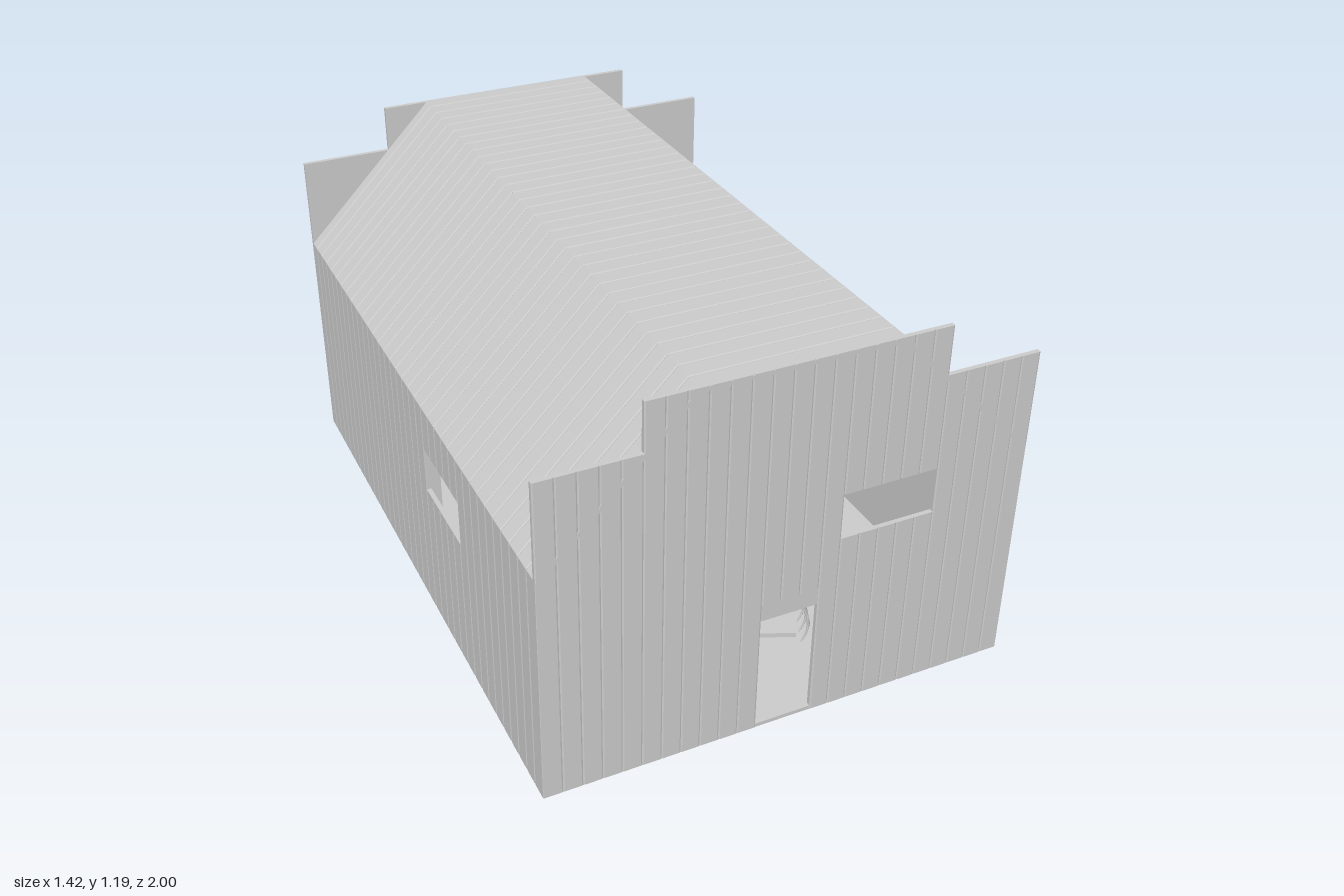
import * as THREE from 'three';
import { mergeGeometries } from 'three/addons/utils/BufferGeometryUtils.js';

const V = (x, y, z) => new THREE.Vector3(x, y, z);
const grey = new THREE.MeshStandardMaterial({ color: 0xcccccc, flatShading: true });
const sheet = new THREE.MeshStandardMaterial({ color: 0xcccccc, side: THREE.DoubleSide });

const HALF_W = 0.71, BASE = 0.05, EAVE = 0.76, TOP = 1.19, STEP = 1.045, RIDGE = 0.285;
const THICK = 0.014;
const END_PLANKS = 25, SIDE_PLANKS = 35;
const endW = (2 * HALF_W) / END_PLANKS, sideW = 2 / SIDE_PLANKS;

// One board with chamfered outer edges; start is the middle of its outer face
function board(start, normal, along, width, length) {
  const h = width / 2, c = 0.004;
  const profile = new THREE.Shape([
    new THREE.Vector2(-h, -THICK), new THREE.Vector2(h, -THICK),
    new THREE.Vector2(h, -c / 2), new THREE.Vector2(h - c, 0),
    new THREE.Vector2(-h + c, 0), new THREE.Vector2(-h, -c / 2),
  ]);
  const geo = new THREE.ExtrudeGeometry(profile, { depth: length, bevelEnabled: false });
  const across = normal.clone().cross(along);
  return geo.applyMatrix4(new THREE.Matrix4().makeBasis(across, normal, along).setPosition(start));
}

// Row of upright boards; openings are { from, to, low, high } with board indices
function boardWall(count, width, normal, place, topOf, openings) {
  const parts = [];
  for (let i = 0; i < count; i++) {
    const hole = openings.find((o) => i >= o.from && i < o.to);
    const spans = hole ? [[BASE, hole.low], [hole.high, topOf(i)]] : [[BASE, topOf(i)]];
    for (const [low, high] of spans) {
      if (high - low > 0.001) {
        parts.push(board(place(i, low), normal, V(0, 1, 0), width, high - low));
      }
    }
  }
  return mergeGeometries(parts);
}

// Row of roof boards running from one edge of the roof section to the other
function roofSection(x0, y0, x1, y1) {
  const along = V(x1 - x0, y1 - y0, 0);
  const length = along.length();
  along.normalize();
  const normal = V(-along.y, along.x, 0);
  const parts = [];
  for (let i = 0; i < SIDE_PLANKS; i++) {
    parts.push(board(V(x0, y0, -1 + (i + 0.5) * sideW), normal, along, sideW, length));
  }
  return mergeGeometries(parts);
}

export function createModel() {
  const model = new THREE.Group();
  const add = (name, geo, x = 0, y = 0, z = 0, parent = model, material = grey) => {
    const mesh = new THREE.Mesh(geo, material);
    mesh.name = name;
    mesh.position.set(x, y, z);
    parent.add(mesh);
    return mesh;
  };
  const box = (w, h, d) => new THREE.BoxGeometry(w, h, d);

  add('floor', box(2 * HALF_W - 0.002, 0.012, 1.998), 0, BASE + 0.006, 0);

  // Stepped end walls
  const stepTop = (i) => (i < 5 || i >= 20 ? STEP : TOP);
  const endWall = (s, openings) => boardWall(END_PLANKS, endW, V(0, 0, s),
    (i, y) => V(-HALF_W + (i + 0.5) * endW, y, s), stepTop, openings);
  add('frontWall', endWall(1, [
    { from: 11, to: 14, low: BASE, high: 0.475 },
    { from: 15, to: 20, low: 0.62, high: EAVE },
  ]));
  add('backWall', endWall(-1, [{ from: 15, to: 20, low: 0.48, high: 0.62 }]));
  add('doorLintel', box(3 * endW, 0.055, 0.014), 0, 0.4475, 0.99);

  // Side walls
  const sideWall = (s, openings) => boardWall(SIDE_PLANKS, sideW, V(s, 0, 0),
    (i, y) => V(s * HALF_W, y, -1 + (i + 0.5) * sideW), () => EAVE, openings);
  const frontWindow = { from: 20, to: 25, low: 0.48, high: 0.62 };
  const backWindow = { from: 5, to: 10, low: 0.48, high: 0.62 };
  add('leftWall', sideWall(1, [frontWindow, backWindow]));
  add('rightWall', sideWall(-1, [frontWindow]));

  // Roof: two slopes and a flat crown
  add('rightRoofSlope', roofSection(-HALF_W, EAVE, -RIDGE, TOP));
  add('roofCrown', roofSection(-RIDGE, TOP, RIDGE, TOP));
  add('leftRoofSlope', roofSection(RIDGE, TOP, HALF_W, EAVE));

  // Interior: tie beam and cabinet
  add('tieBeam', box(2 * HALF_W - 0.03, 0.055, 0.06), 0, 0.6925, -0.3);
  add('cabinet', box(0.16, 0.5, 0.5), -0.61, 0.312, -0.57);

  // Hooped cart standing inside the door
  const cart = new THREE.Group();
  cart.name = 'hoopedCart';
  cart.position.set(0.15, 0, 0.61);
  cart.rotation.y = -0.4;
  model.add(cart);
  for (let i = 0; i < 6; i++) {
    add('cartHoop', new THREE.TorusGeometry(0.12, 0.004, 6, 40), 0, 0.124, (i - 2.5) * 0.045, cart);
  }
  add('cartBed', box(0.17, 0.015, 0.26), 0, 0.1, 0, cart);
  const cover = new THREE.CylinderGeometry(0.124, 0.124, 0.25, 24, 1, true, -Math.PI / 2, Math.PI);
  cover.rotateX(-Math.PI / 2);
  add('cartCover', cover, 0, 0.124, 0, cart, sheet);

  // Shallow basin and slatted rack
  const basin = new THREE.SphereGeometry(0.07, 20, 8, 0, Math.PI * 2, Math.PI / 2, Math.PI / 2);
  add('basin', basin, 0.01, 0.17, 0.45, model, sheet);
  add('basinFoot', new THREE.CylinderGeometry(0.02, 0.04, 0.05, 12), 0.01, 0.085, 0.45);
  for (let i = 0; i < 9; i++) add('rackSlat', box(0.06, 0.008, 0.012), -0.04, 0.205 + i * 0.015, 0.2);
  for (const x of [-0.07, -0.01]) add('rackPost', box(0.006, 0.27, 0.012), x, 0.195, 0.2);

  return model;
}
